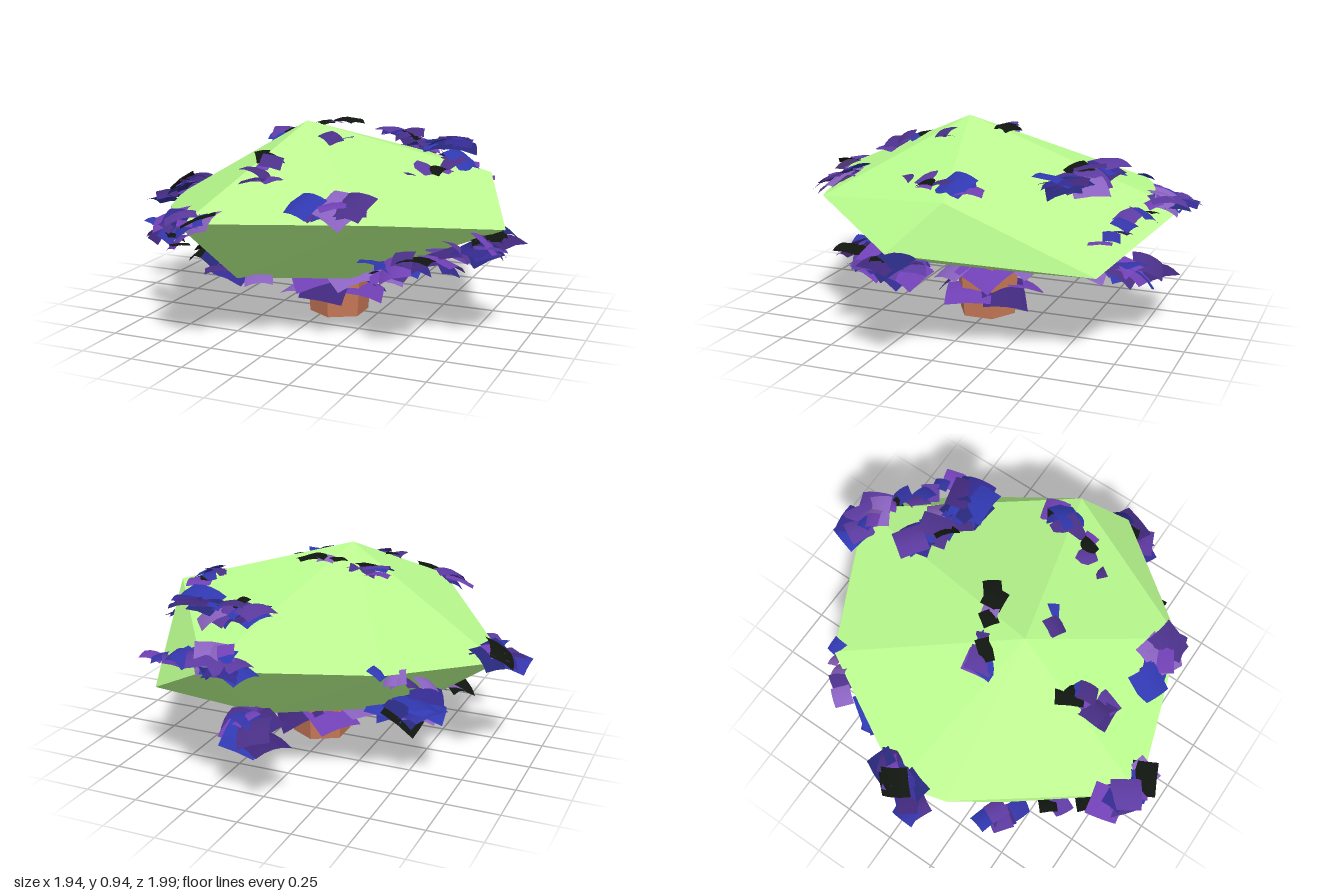
import * as THREE from 'three';
import { ConvexGeometry } from 'three/addons/geometries/ConvexGeometry.js';

// small seeded random in the range -1..1
let seed = 7;
function rnd() {
  seed = (seed * 16807) % 2147483647;
  return (seed / 2147483647) * 2 - 1;
}

const LEAF_COLORS = [0x7040b4, 0x3434a8, 0x40287c, 0x28287c, 0x8a62c0, 0x342a90,
  0x5c3aa0, 0x3038b0, 0x4a3088, 0x10160f];

// square leaf card, folded down along its middle
function leafGeometry() {
  const g = new THREE.PlaneGeometry(1, 1, 4, 2).rotateX(-Math.PI / 2);
  const p = g.attributes.position;
  for (let i = 0; i < p.count; i++) {
    const x = p.getX(i), z = p.getZ(i);
    p.setY(i, 0.08 - 0.45 * x * x - 0.2 * z * z);
  }
  g.computeVertexNormals();
  return g;
}

export function createModel() {
  seed = 7;
  const model = new THREE.Group();

  // canopy: faceted lump, wide rim and flat underside
  const corners = [
    [-0.05, 0.94, 0.15],
    [0.77, 0.72, -0.07], [0.17, 0.63, -0.94], [0.57, 0.4, -0.68],
    [0.02, 0.63, -0.86], [-0.5, 0.6, -0.62], [-0.83, 0.5, -0.02],
    [-0.77, 0.48, 0.2], [-0.62, 0.46, 0.42], [-0.27, 0.6, 0.92],
    [0.46, 0.61, 0.68], [0.9, 0.51, 0.14],
    [-0.55, 0.28, 0.1], [-0.22, 0.27, 0.55], [0.25, 0.27, 0.35],
    [0.1, 0.3, -0.55], [0.22, 0.27, -0.28], [-0.42, 0.28, -0.2],
  ].map((c) => new THREE.Vector3(...c));
  const canopy = new THREE.Mesh(
    new ConvexGeometry(corners),
    new THREE.MeshStandardMaterial({ color: 0xbcff90, flatShading: true })
  );
  canopy.name = 'canopy';
  model.add(canopy);

  // trunk: short six-sided stump
  const trunk = new THREE.Mesh(
    new THREE.CylinderGeometry(0.165, 0.142, 0.32, 6),
    new THREE.MeshStandardMaterial({ color: 0xc87a58, flatShading: true })
  );
  trunk.name = 'trunk';
  trunk.position.set(0.055, 0.16, 0.018);
  model.add(trunk);

  // leaves: strips of cards scattered from a to b
  const geometry = leafGeometry();
  const materials = LEAF_COLORS.map((color) =>
    new THREE.MeshStandardMaterial({ color, side: THREE.DoubleSide }));
  const leaves = new THREE.Group();
  leaves.name = 'leaves';
  model.add(leaves);

  function scatter(name, a, b, count, size, jitter = 0.03, tilt = 0.5) {
    const strip = new THREE.Group();
    strip.name = name;
    for (let i = 0; i < count; i++) {
      const t = i / (count - 1);
      const pick = Math.floor((rnd() + 1) * 0.5 * materials.length) % materials.length;
      const leaf = new THREE.Mesh(geometry, materials[pick]);
      leaf.name = 'leaf';
      leaf.position.set(...a.map((v, k) =>
        v + (b[k] - v) * t + rnd() * jitter * (k === 1 ? 0.6 : 1)));
      // lean outward with the slope of the canopy
      const p = leaf.position;
      leaf.rotation.set(p.z * 0.35 + rnd() * tilt, rnd() * 3, -p.x * 0.35 + rnd() * tilt, 'XZY');
      leaf.scale.setScalar(size * (1 + rnd() * 0.25));
      strip.add(leaf);
    }
    leaves.add(strip);
  }

  // top of the canopy
  scatter('topLeaves', [-0.24, 0.84, 0.04], [-0.12, 0.88, 0.02], 6, 0.12, 0.03, 0.3);
  scatter('peakLeaves', [-0.03, 0.91, -0.04], [0.08, 0.91, -0.1], 4, 0.09, 0.02, 0.3);
  scatter('frontSlopeLeaves', [-0.09, 0.82, 0.42], [-0.08, 0.75, 0.58], 7, 0.11, 0.03, 0.35);
  scatter('middleLeaves', [0.04, 0.87, 0.2], [0.14, 0.85, 0.16], 4, 0.08);
  scatter('backRidgeLeaves', [0.07, 0.78, -0.57], [0.52, 0.76, -0.48], 18, 0.14, 0.04, 0.4);
  scatter('leftShoulderLeaves', [0.5, 0.74, 0.17], [0.66, 0.76, -0.14], 11, 0.12, 0.03, 0.4);
  scatter('frontLeftLeaves', [0.18, 0.67, 0.66], [0.4, 0.67, 0.65], 9, 0.14, 0.03, 0.4);

  // rim clusters
  scatter('frontTipLeaves', [-0.37, 0.61, 0.85], [-0.2, 0.6, 0.91], 10, 0.13);
  scatter('backTipLeaves', [0.04, 0.65, -0.91], [0.2, 0.68, -0.87], 10, 0.14, 0.02, 0.4);
  scatter('backLeftRimLeaves', [0.22, 0.65, -0.85], [0.56, 0.56, -0.67], 8, 0.09);
  scatter('rightTipLeaves', [-0.87, 0.49, 0.1], [-0.78, 0.57, -0.12], 12, 0.12);
  scatter('rightFrontRimLeaves', [-0.72, 0.45, 0.4], [-0.62, 0.42, 0.48], 5, 0.1);
  scatter('rightBackRimLeaves', [-0.63, 0.55, -0.47], [-0.48, 0.6, -0.64], 5, 0.08);
  scatter('frontRimLeaves', [-0.5, 0.45, 0.62], [-0.42, 0.45, 0.72], 3, 0.08);
  scatter('leftTipLeaves', [0.83, 0.43, 0.26], [0.88, 0.49, 0.1], 8, 0.15, 0.03, 0.4);
  scatter('leftUndersideLeaves', [0.35, 0.29, 0.25], [0.8, 0.42, 0.2], 14, 0.16, 0.05, 0.4);
  scatter('frontLeftUndersideLeaves', [0.4, 0.38, 0.45], [0.6, 0.42, 0.48], 6, 0.12);

  // underside clusters
  scatter('frontUndersideLeaves', [-0.42, 0.3, 0.38], [-0.15, 0.29, 0.53], 6, 0.13, 0.05);
  scatter('rightUndersideLeaves', [-0.56, 0.31, 0.2], [-0.38, 0.25, -0.1], 11, 0.14, 0.05);
  scatter('backRightUndersideLeaves', [-0.6, 0.37, -0.36], [-0.26, 0.25, -0.08], 18, 0.15, 0.05);
  scatter('backUndersideLeaves', [0.18, 0.34, -0.6], [0.02, 0.29, -0.75], 12, 0.15, 0.05);

  // big drooping leaves around the trunk, in two tiers
  for (let i = 0; i < 10; i++) {
    const a = (i / 5) * Math.PI * 2 + (i < 5 ? 0.3 : 0.9);
    const leaf = new THREE.Mesh(geometry, materials[[0, 2, 4][i % 3]]);
    leaf.name = 'trunkLeaf';
    leaf.position.set(0.05 + Math.cos(a) * 0.14,
      (i < 5 ? 0.15 : 0.24) + rnd() * 0.03, 0.02 + Math.sin(a) * 0.14);
    leaf.rotation.set(Math.sin(a) * 0.4 + rnd() * 0.2, a, -Math.cos(a) * 0.4 + rnd() * 0.2, 'XZY');
    leaf.scale.set(0.22, 0.14, 0.22);
    leaves.add(leaf);
  }

  return model;
}
